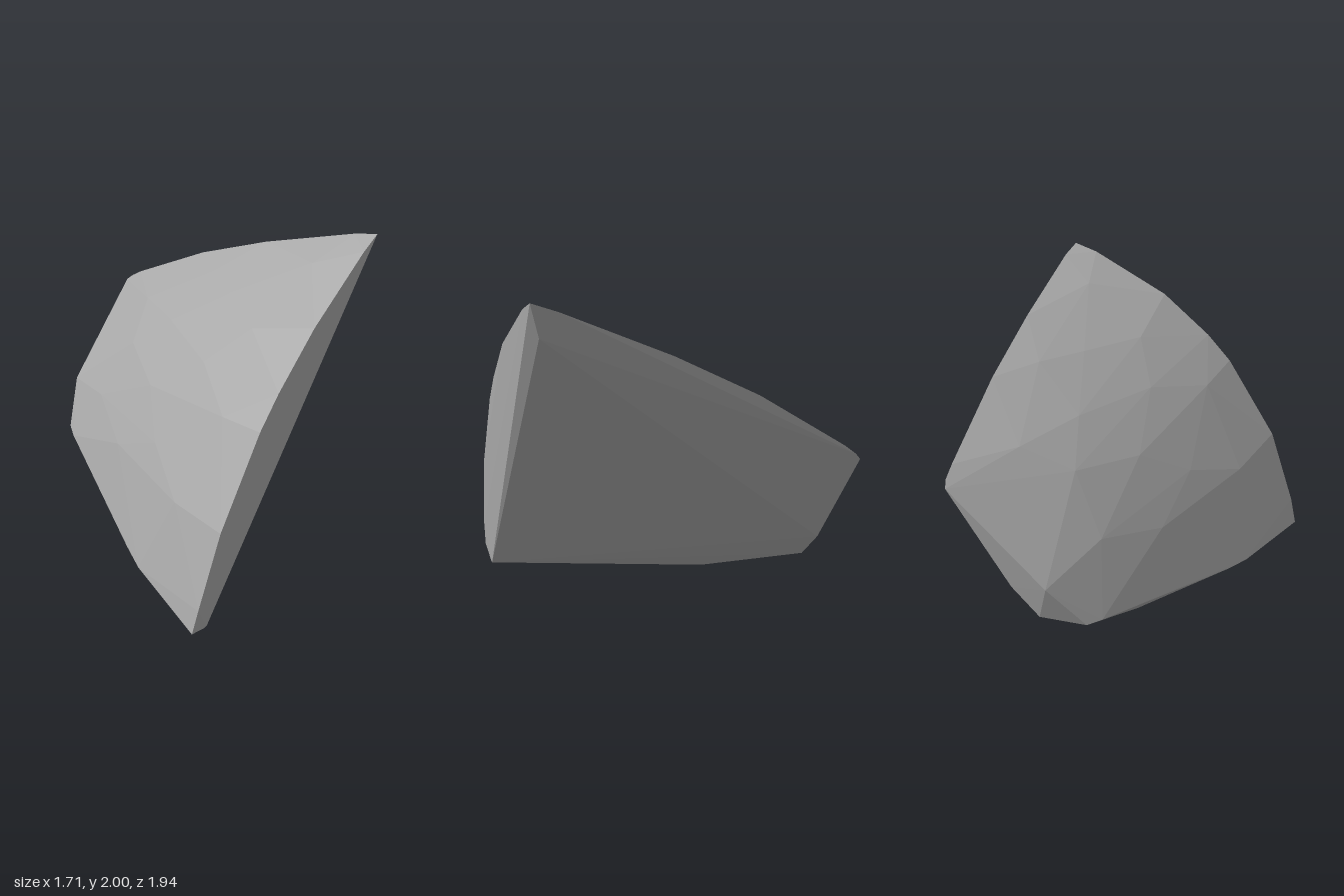
import * as THREE from 'three';
import { ConvexGeometry } from 'three/addons/geometries/ConvexGeometry.js';

const lerp = THREE.MathUtils.lerp;

// piecewise linear lookup in a list of [input, output] pairs, ascending
function lookup(table, v) {
  for (let i = 1; i < table.length; i++) {
    const [a, fa] = table[i - 1], [b, fb] = table[i];
    if (v <= b) return lerp(fa, fb, (v - a) / (b - a));
  }
  return table[table.length - 1][1];
}

// rim of the flat front face
const frontRim = [
  [-0.72, 0.01, 0.94], [-0.86, 0.09, 0.95], [-0.82, 0.26, 0.96], [-0.65, 0.75, 0.97], [-0.32, 1.26, 0.97],
  [-0.16, 1.43, 0.97], [0.16, 1.69, 0.97], [0.66, 1.95, 0.96], [0.81, 2.0, 0.955],
];
// ridge running back along the +x side
const sideRidge = [
  [0.825, 1.95, 0.81], [0.84, 1.69, 0.2], [0.85, 1.44, -0.3], [0.85, 1.1, -0.85],
  [0.85, 1.04, -0.93], [0.835, 1.0, -0.97],
];
// low edge between the dome and the underside
const lowEdge = [
  [-0.66, 0, 0.75], [-0.64, 0.065, 0.36], [-0.55, 0.07, 0.19], [-0.03, 0.17, -0.76],
  [0.035, 0.175, -0.85], [0.24, 0.44, -0.96],
];
// corners of the broken underside
const underside = [
  [-0.7, 0.01, 0.94], [0.75, 1.81, 0.9], [0.48, 0.39, -0.92], [0.31, 0.21, -0.91], [-0.12, 0.03, -0.38],
];

// dome: cross-sections that shrink toward the back
const lowX = [[-0.85, 0.035], [-0.76, -0.03], [0.19, -0.55], [0.36, -0.64], [0.95, -0.86]];
const lowY = [[-0.85, 0.175], [-0.38, 0.1], [0.19, 0.07], [0.95, 0.09]];
const topY = [[-0.85, 1.1], [-0.3, 1.44], [0.2, 1.69], [0.81, 1.95], [0.96, 2.0]];
const bulge = [[0, 0], [0.124, 0.345], [0.318, 0.613], [0.41, 0.7], [0.6, 0.838], [0.89, 0.974], [1, 1]];

function domePoints() {
  const points = [];
  [0.6, 0.25, -0.12, -0.5].forEach((zRow, row) => {
    const steps = row % 2 ? [0.2, 0.45, 0.72] : [0.12, 0.32, 0.58, 0.85];
    steps.forEach((t, i) => {
      const z = zRow + (i % 2 ? 0.07 : -0.05);
      const height = lerp(lookup(bulge, t), t, 0.13 * (0.96 - z));
      points.push([
        lerp(lookup(lowX, z), 0.84, t),
        lerp(lookup(lowY, z), lookup(topY, z), height),
        z,
      ]);
    });
  });
  return points;
}

export function createModel() {
  const stone = new THREE.MeshStandardMaterial({ color: 0xa8a8a8 });
  stone.name = 'grey stone';

  const corners = [...frontRim, ...sideRidge, ...lowEdge, ...underside, ...domePoints()];
  const rock = new THREE.Mesh(
    new ConvexGeometry(corners.map((p) => new THREE.Vector3(...p))),
    stone,
  );
  rock.name = 'rockShard';

  const model = new THREE.Group();
  model.name = 'rock';
  model.add(rock);
  return model;
}
